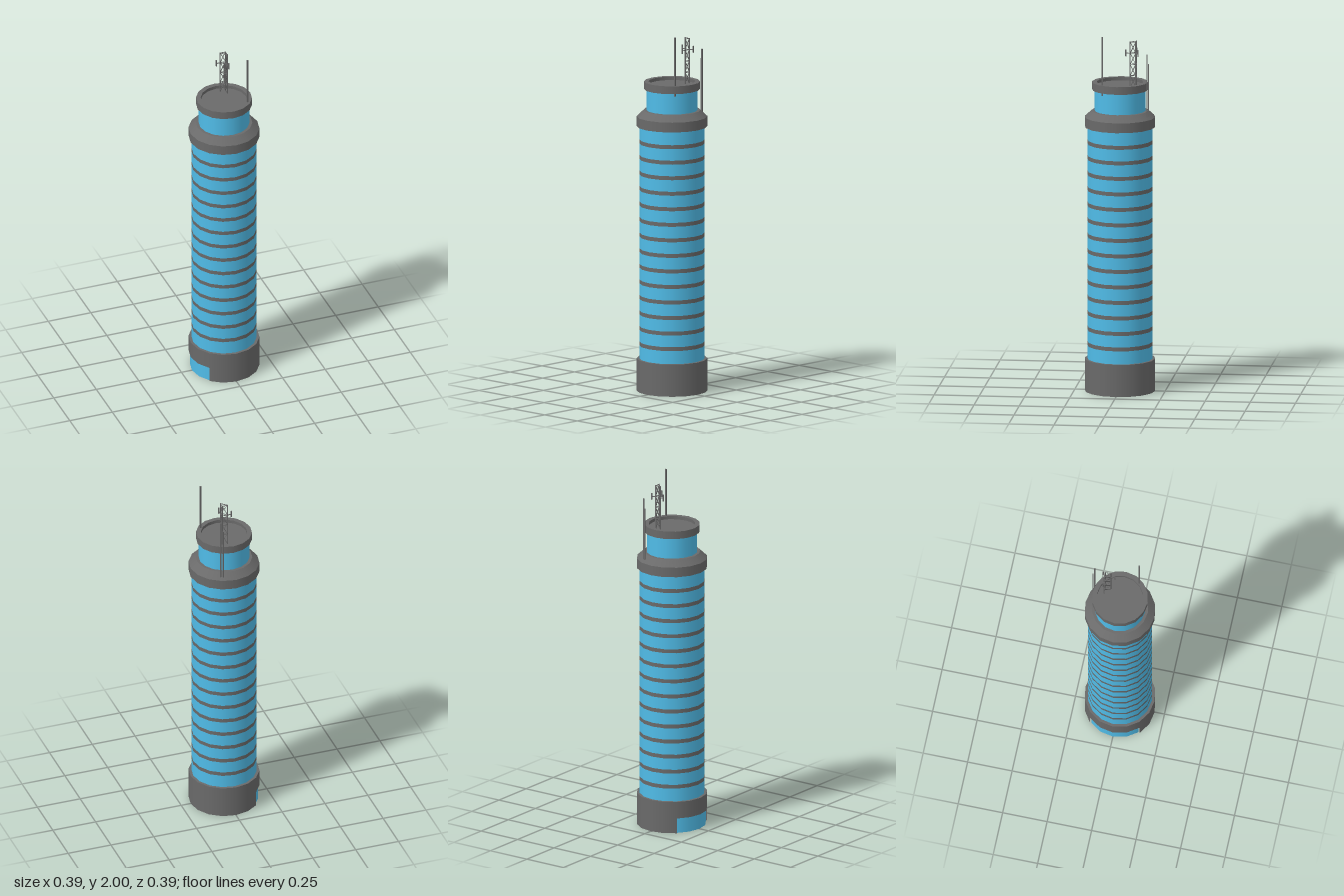
import * as THREE from 'three';

const SIDES = 16;
const TURN = Math.PI * 2;
const grey = new THREE.MeshStandardMaterial({ color: 0x6a6a6a, side: THREE.DoubleSide });
const blue = new THREE.MeshStandardMaterial({ color: 0x50bce8, side: THREE.DoubleSide });

export function createModel() {
  const model = new THREE.Group();

  function group(name) {
    const g = new THREE.Group();
    g.name = name;
    model.add(g);
    return g;
  }

  function add(parent, name, geometry, material) {
    const mesh = new THREE.Mesh(geometry, material);
    mesh.name = name;
    parent.add(mesh);
    return mesh;
  }

  // Open wall from radius r0 at height y0 to radius r1 at height y1
  function wall(parent, name, r0, y0, r1, y1, material, start = 0, sweep = TURN) {
    const segments = Math.round(SIDES * sweep / TURN);
    const geo = new THREE.CylinderGeometry(r1, r0, y1 - y0, segments, 1, true, start, sweep);
    geo.translate(0, (y0 + y1) / 2, 0);
    return add(parent, name, geo, material);
  }

  // Flat ring facing up (or down)
  function ledge(parent, name, inner, outer, y, up = true) {
    const geo = new THREE.RingGeometry(inner, outer, SIDES);
    geo.rotateX(up ? -Math.PI / 2 : Math.PI / 2).translate(0, y, 0);
    return add(parent, name, geo, grey);
  }

  // Square bar between two points
  function bar(parent, name, a, b, size) {
    const from = new THREE.Vector3(...a), to = new THREE.Vector3(...b);
    const mesh = add(parent, name, new THREE.BoxGeometry(size, size, from.distanceTo(to)), grey);
    mesh.position.copy(from).add(to).multiplyScalar(0.5);
    mesh.lookAt(to);
    return mesh;
  }

  // Base, with a glazed entrance cut out of the -x side
  const base = group('base');
  const doorTop = 0.085, doorStart = Math.PI * 1.25;
  wall(base, 'baseUpperWall', 0.195, doorTop, 0.195, 0.18, grey);
  wall(base, 'baseLowerWall', 0.195, 0, 0.195, doorTop, grey, Math.PI * 1.75, Math.PI * 1.5);
  wall(base, 'entranceGlass', 0.188, 0, 0.188, doorTop, blue, doorStart, Math.PI / 2);
  ledge(base, 'baseLedge', 0.178, 0.195, 0.18);

  // Shaft: glass storeys alternating with flush floor bands
  const shaft = group('shaft');
  const bands = 14, pitch = 0.087, bandHeight = 0.022, r = 0.18;
  let y = 0.18;
  for (let i = 0; i < bands; i++) {
    const low = 0.264 + i * pitch - bandHeight / 2;
    wall(shaft, 'storeyGlass', r, y, r, low, blue);
    wall(shaft, 'floorBand', r, low, r, low + bandHeight, grey);
    y = low + bandHeight;
  }
  wall(shaft, 'storeyGlass', r, y, r, 1.48, blue);

  // Collar with sloped shoulder
  const collar = group('collar');
  ledge(collar, 'collarSoffit', 0.178, 0.195, 1.48, false);
  wall(collar, 'collarWall', 0.195, 1.48, 0.195, 1.535, grey);
  wall(collar, 'collarSlope', 0.195, 1.535, 0.156, 1.57, grey);
  ledge(collar, 'collarTop', 0.135, 0.156, 1.57);

  // Penthouse and its parapet with a sunken roof
  const penthouse = group('penthouse');
  wall(penthouse, 'penthouseGlass', 0.14, 1.57, 0.14, 1.69, blue);
  ledge(penthouse, 'parapetSoffit', 0.135, 0.154, 1.687, false);
  wall(penthouse, 'parapetWall', 0.154, 1.687, 0.154, 1.73, grey);
  ledge(penthouse, 'parapetTop', 0.128, 0.154, 1.73);
  wall(penthouse, 'parapetInner', 0.128, 1.712, 0.128, 1.73, grey);
  const roof = new THREE.CircleGeometry(0.128, SIDES);
  roof.rotateX(-Math.PI / 2).translate(0, 1.712, 0);
  add(penthouse, 'roof', roof, grey);

  // Rod antennas: x, z, bottom, top, thickness
  const antennas = group('antennas');
  for (const [x, z, low, top, size] of [
    [0.106, 0.086, 1.67, 2.0, 0.008],
    [0.076, -0.158, 1.54, 1.9, 0.006],
    [0.063, -0.165, 1.54, 1.845, 0.006],
  ]) {
    const rod = add(antennas, 'rodAntenna', new THREE.BoxGeometry(size, top - low, size), grey);
    rod.position.set(x, (low + top) / 2, z);
  }

  // Triangular lattice mast
  const mast = group('latticeMast');
  const legs = [[0.012, -0.092], [0.043, -0.092], [0.043, -0.061]];
  const mastLow = 1.712, mastTop = 1.965, bays = 4;
  const bay = (mastTop - 0.002 - mastLow) / bays;
  legs.forEach(([x, z], i) => {
    const [nx, nz] = legs[(i + 1) % 3];
    const leg = add(mast, 'mastLeg', new THREE.BoxGeometry(0.005, mastTop - mastLow, 0.005), grey);
    leg.position.set(x, (mastLow + mastTop) / 2, z);
    for (let k = 0; k < bays; k++) {
      const low = mastLow + k * bay, high = low + bay;
      bar(mast, 'mastRung', [x, high, z], [nx, high, nz], 0.003);
      bar(mast, 'mastBrace', [x, low, z], [nx, high, nz], 0.003);
    }
  });

  // Arms with small panel aerials near the mast top
  const tips = [[-0.01, -0.092], [0.058, -0.107], [0.043, -0.037]];
  tips.forEach(([x, z], i) => {
    bar(mast, 'aerialArm', [legs[i][0], 1.9, legs[i][1]], [x, 1.9, z], 0.004);
    const panel = add(mast, 'aerialPanel', new THREE.BoxGeometry(0.006, 0.038, 0.006), grey);
    panel.position.set(x, 1.902, z);
  });

  return model;
}
